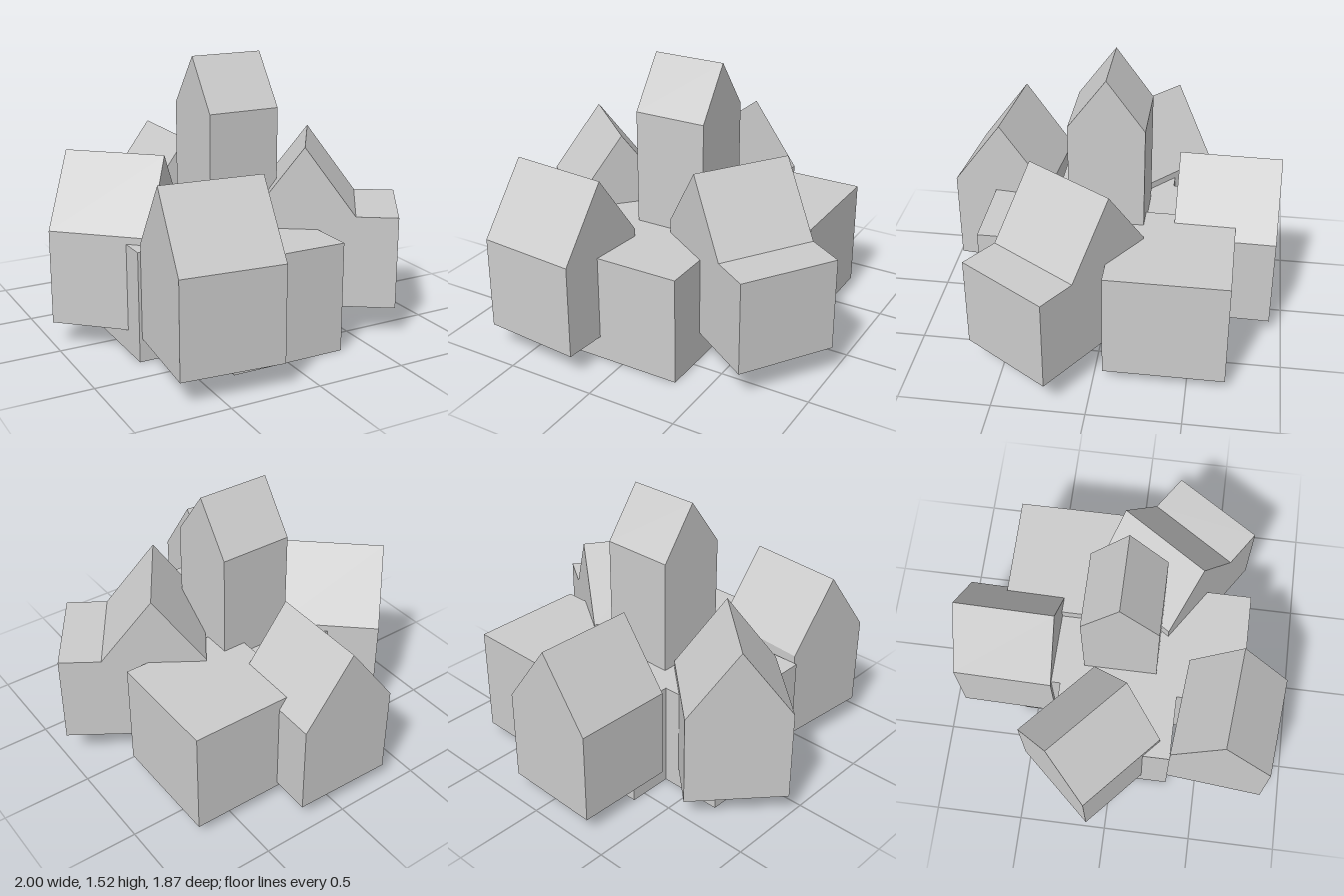
import * as THREE from 'three';

const material = new THREE.MeshStandardMaterial({ color: 0xcccccc, flatShading: true });

// Extrude an x/y outline along z, centred, then turn it about y and place it.
function prism(name, points, length, x, z, turn) {
  const shape = new THREE.Shape(points.map(([px, py]) => new THREE.Vector2(px, py)));
  const geometry = new THREE.ExtrudeGeometry(shape, { depth: length, bevelEnabled: false });
  geometry.translate(0, 0, -length / 2);
  const mesh = new THREE.Mesh(geometry, material);
  mesh.name = name;
  mesh.position.set(x, 0, z);
  mesh.rotation.y = turn;
  return mesh;
}

// Gabled block: the ridge runs along local z.
function house(name, { x, z, turn, width, length, bottom, eave, apex }) {
  const w = width / 2;
  return prism(name, [[-w, bottom], [w, bottom], [w, eave], [0, apex], [-w, eave]], length, x, z, turn);
}

// Flat-topped block given by its extents.
function block(name, x0, x1, y0, y1, z0, z1) {
  const mesh = new THREE.Mesh(new THREE.BoxGeometry(x1 - x0, y1 - y0, z1 - z0), material);
  mesh.name = name;
  mesh.position.set((x0 + x1) / 2, (y0 + y1) / 2, (z0 + z1) / 2);
  return mesh;
}

export function createModel() {
  const group = new THREE.Group();
  group.name = 'houseCluster';

  // L-shaped footing and the raised flat block at the back
  group.add(block('baseHall', -0.32, 0.33, 0, 0.605, -0.58, 0.695));
  group.add(block('baseWing', -0.68, -0.32, 0, 0.605, -0.33, 0.33));
  group.add(block('flatBlock', 0.08, 0.73, 0.065, 0.67, -0.705, -0.05));

  // Central tower
  group.add(house('tower', {
    x: 0.005, z: -0.003, turn: Math.PI / 2, width: 0.41, length: 0.41,
    bottom: 0.5, eave: 1.245, apex: 1.525,
  }));

  // Gabled houses around it
  const size = { width: 0.557, length: 0.557 };
  group.add(house('backHouse', { ...size, x: -0.06, z: -0.655, turn: -0.018, bottom: 0.09, eave: 0.607, apex: 0.985 }));
  group.add(house('rightHouse', { ...size, x: -0.605, z: -0.127, turn: 0.838, bottom: 0.125, eave: 0.643, apex: 1.02 }));
  group.add(house('frontHouse', { ...size, x: -0.412, z: 0.632, turn: 1.481, bottom: 0.13, eave: 0.65, apex: 1.028 }));

  // House with a flat-roofed extension on its outer side
  group.add(prism('leftHouse', [
    [-0.395, 0.165], [0.395, 0.165], [0.395, 0.682], [0.165, 0.682], [-0.115, 1.06], [-0.395, 0.682],
  ], 0.557, 0.515, 0.229, -0.583));

  return group;
}
